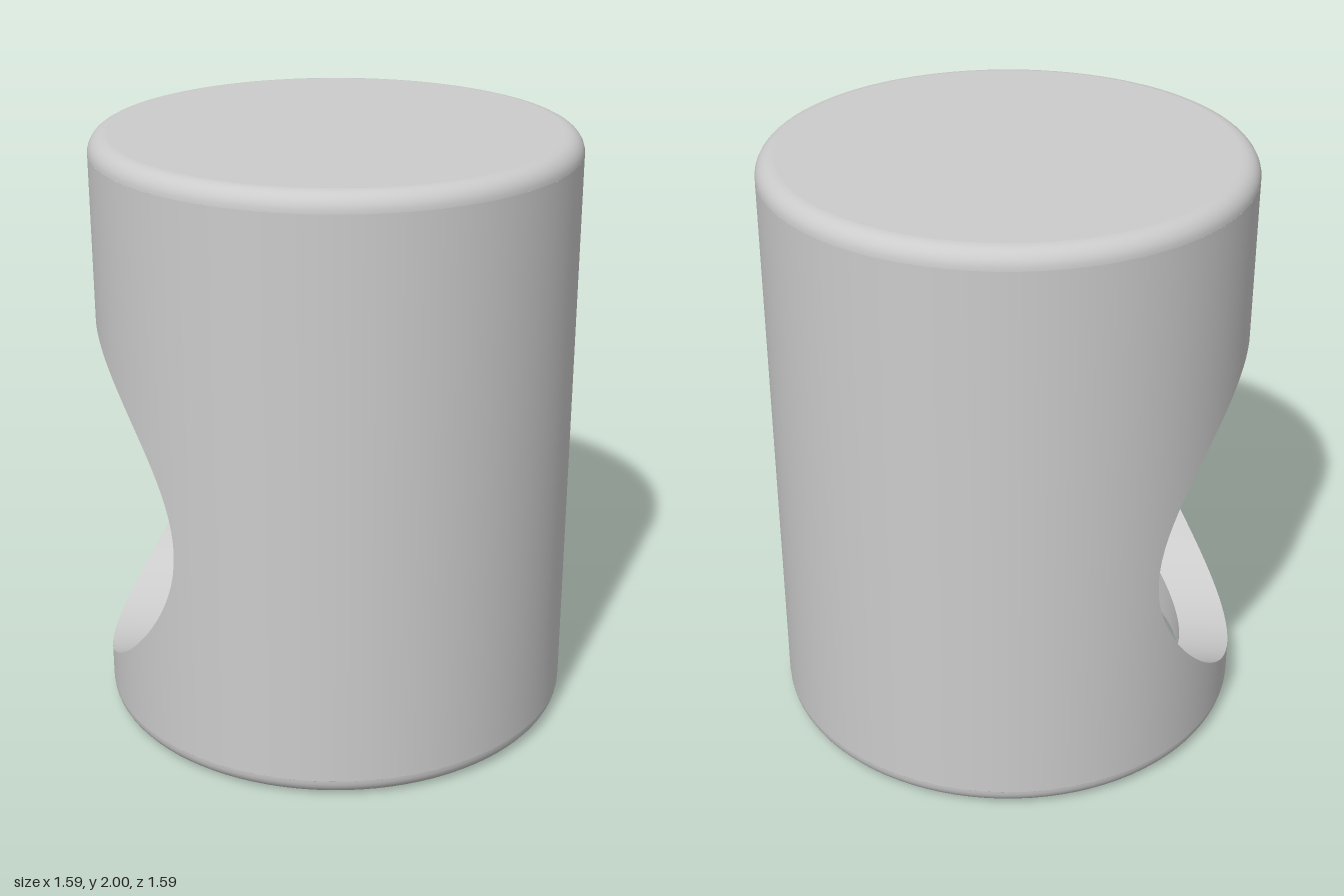
import * as THREE from 'three';

const R = 0.793, r = 0.62;            // outer and inner radius; the side hole shares the inner radius
const H = 2, CEILING = 1.83;          // total height, underside of the closed top
const HOLE_Y = 0.78, FILLET = 0.06;
const N = 48;

const material = new THREE.MeshStandardMaterial({ color: 0xcccccc });

// Ribbon of quads through rows of { a, b, n }: two edge points and a shared normal
function strip(rows) {
  const pos = [], nor = [], idx = [];
  rows.forEach(({ a, b, n }, i) => {
    pos.push(...a, ...b);
    nor.push(...n, ...n);
    if (i) {
      const k = 2 * i - 2;
      idx.push(k, k + 2, k + 3, k, k + 3, k + 1);
    }
  });
  const g = new THREE.BufferGeometry();
  g.setAttribute('position', new THREE.Float32BufferAttribute(pos, 3));
  g.setAttribute('normal', new THREE.Float32BufferAttribute(nor, 3));
  g.setIndex(idx);
  return g;
}

// Cylindrical wall with the round side hole left open; phi is measured from -x
function wall(name, radius, y0, y1, inward) {
  const group = new THREE.Group();
  group.name = name;
  const edge = Math.asin(r / radius);
  const row = (phi, low, high) => {
    const c = -Math.cos(phi), s = Math.sin(phi), d = inward ? -1 : 1;
    const p = [radius * c, low, radius * s], q = [radius * c, high, radius * s];
    return { a: inward ? q : p, b: inward ? p : q, n: [d * c, 0, d * s] };
  };
  const below = [], above = [], solid = [];
  for (let i = 0; i <= N; i++) {
    const u = (i / N - 0.5) * Math.PI;
    const phi = Math.asin(Math.sin(u) * r / radius);
    const h = r * Math.cos(u);
    below.push(row(phi, y0, HOLE_Y - h));
    above.push(row(phi, HOLE_Y + h, y1));
    solid.push(row(edge + (i / N) * 2 * (Math.PI - edge), y0, y1));
  }
  for (const [part, rows] of Object.entries({ BelowHole: below, AboveHole: above, Solid: solid })) {
    const mesh = new THREE.Mesh(strip(rows), material);
    mesh.name = name + part;
    group.add(mesh);
  }
  return group;
}

// Quarter round in profile, from angle a0 to a0 + 90 degrees
function arc(cx, cy, a0) {
  return Array.from({ length: 9 }, (_, i) => {
    const a = a0 + (i / 8) * Math.PI / 2;
    return new THREE.Vector2(cx + FILLET * Math.cos(a), cy + FILLET * Math.sin(a));
  });
}

function lathe(name, points) {
  const mesh = new THREE.Mesh(new THREE.LatheGeometry(points, 2 * N), material);
  mesh.name = name;
  return mesh;
}

export function createModel() {
  const model = new THREE.Group();
  model.name = 'hollowCylinder';

  model.add(wall('outerWall', R, FILLET, H - FILLET, false));
  model.add(wall('innerWall', r, FILLET, CEILING, true));

  // Tunnel surface of the side hole, running from the outer to the inner wall
  const rows = [];
  for (let i = 0; i <= 2 * N; i++) {
    const t = (i / N) * Math.PI, s = Math.sin(t), c = Math.cos(t);
    const y = HOLE_Y + r * c, z = r * s;
    rows.push({
      a: [-r * Math.abs(c), y, z],
      b: [-Math.sqrt(R * R - z * z), y, z],
      n: [0, -c, -s],
    });
  }
  const tunnel = new THREE.Mesh(strip(rows), material);
  tunnel.name = 'sideHole';
  model.add(tunnel);

  // Rounded bottom rim, rounded closed top and the ceiling inside
  model.add(lathe('bottomRim', [
    ...arc(r + FILLET, FILLET, Math.PI),
    ...arc(R - FILLET, FILLET, -Math.PI / 2),
  ]));
  model.add(lathe('topEdge', arc(R - FILLET, H - FILLET, 0)));
  model.add(lathe('topFace', [new THREE.Vector2(R - FILLET, H), new THREE.Vector2(0, H)]));
  model.add(lathe('ceiling', [new THREE.Vector2(0, CEILING), new THREE.Vector2(r, CEILING)]));
  return model;
}
